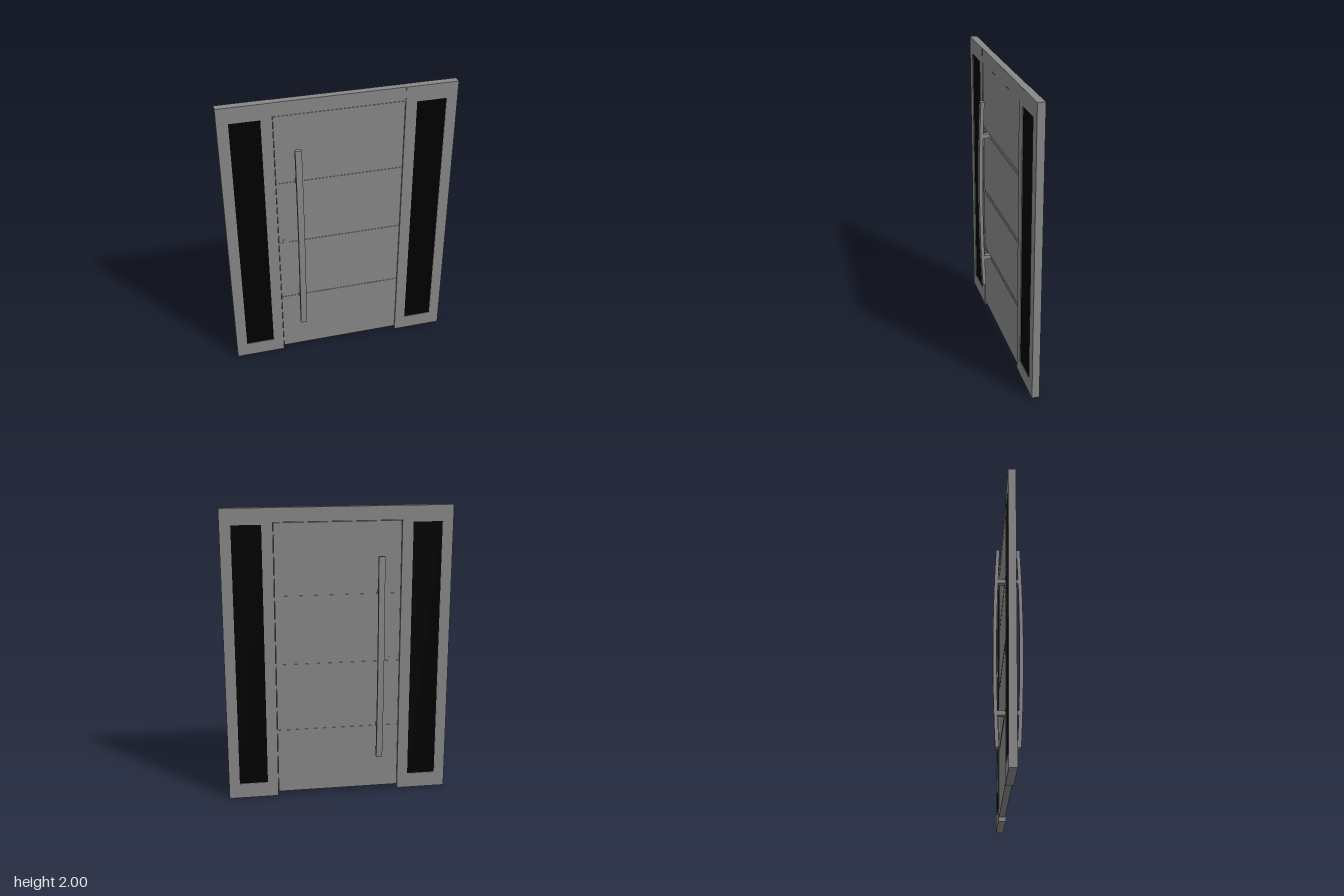
import * as THREE from 'three';

const grey = new THREE.MeshStandardMaterial({ color: 0x888888 });
const black = new THREE.MeshStandardMaterial({ color: 0x000000 });

function add(parent, name, geometry, material = grey) {
  const mesh = new THREE.Mesh(geometry, material);
  mesh.name = name;
  parent.add(mesh);
  return mesh;
}

// Box given by its extents in x and y, centred on z = 0
function slab(parent, name, x0, x1, y0, y1, depth, material) {
  const mesh = add(parent, name, new THREE.BoxGeometry(x1 - x0, y1 - y0, depth), material);
  mesh.position.set((x0 + x1) / 2, (y0 + y1) / 2, 0);
}

function rectangle(Type, x0, x1, y0, y1) {
  const r = new Type();
  r.moveTo(x0, y0).lineTo(x1, y0).lineTo(x1, y1).lineTo(x0, y1).closePath();
  return r;
}

// Fixed side panel with a tall dark window
function sidelight(side) {
  const group = new THREE.Group();
  group.name = side > 0 ? 'leftSidelight' : 'rightSidelight';
  const shape = rectangle(THREE.Shape, -0.17, 0.17, 0, 2);
  shape.holes.push(rectangle(THREE.Path, -0.097, 0.097, 0.107, 1.893));
  const frame = new THREE.ExtrudeGeometry(shape, { depth: 0.05, bevelEnabled: false });
  frame.translate(0, 0, -0.025);
  add(group, 'sidelightFrame', frame);
  slab(group, 'glass', -0.097, 0.097, 0.107, 1.893, 0.042, black);
  group.position.x = side * 0.592;
  return group;
}

// Bowed pull bar: a box whose rows are pushed out along a shallow arc
function pullHandle(side) {
  const group = new THREE.Group();
  group.name = side > 0 ? 'frontHandle' : 'backHandle';
  const length = 1.405;
  const bar = new THREE.BoxGeometry(0.042, length, 0.024, 1, 16, 1);
  const pos = bar.attributes.position;
  for (let i = 0; i < pos.count; i++) {
    const t = pos.getY(i) / (length / 2);
    pos.setZ(i, pos.getZ(i) + 0.086 - 0.018 * t * t);
  }
  bar.computeVertexNormals();
  add(group, 'handleBar', bar).position.y = 0.976;
  // Standoffs joining the bar to the door
  for (const y of [0.5, 1.437]) {
    add(group, 'standoff', new THREE.BoxGeometry(0.034, 0.03, 0.062)).position.set(0, y, 0.047);
  }
  group.position.x = -0.279;
  if (side < 0) group.rotation.y = Math.PI;
  return group;
}

export function createModel() {
  const model = new THREE.Group();
  model.name = 'entranceDoor';

  // Surround
  model.add(sidelight(1), sidelight(-1));
  slab(model, 'header', -0.422, 0.422, 1.906, 2, 0.046);

  // Door leaf: four planks separated by wide, shallow grooves over a core
  const door = new THREE.Group();
  door.name = 'door';
  model.add(door);
  const bottom = 0.03, top = 1.903, step = (top - bottom) / 4, gap = 0.022;
  slab(door, 'doorCore', -0.419, 0.419, bottom + 0.002, top - 0.002, 0.036);
  for (let i = 0; i < 4; i++) {
    const y0 = bottom + i * step + (i > 0 ? gap / 2 : 0);
    const y1 = bottom + (i + 1) * step - (i < 3 ? gap / 2 : 0);
    slab(door, 'doorPlank', -0.419, 0.419, y0, y1, 0.042);
  }
  // Thin lock plate on both faces, behind the handles
  slab(door, 'lockPlate', -0.39, -0.35, 0.88, 0.98, 0.043);

  // Handles on both faces
  model.add(pullHandle(1), pullHandle(-1));
  return model;
}
